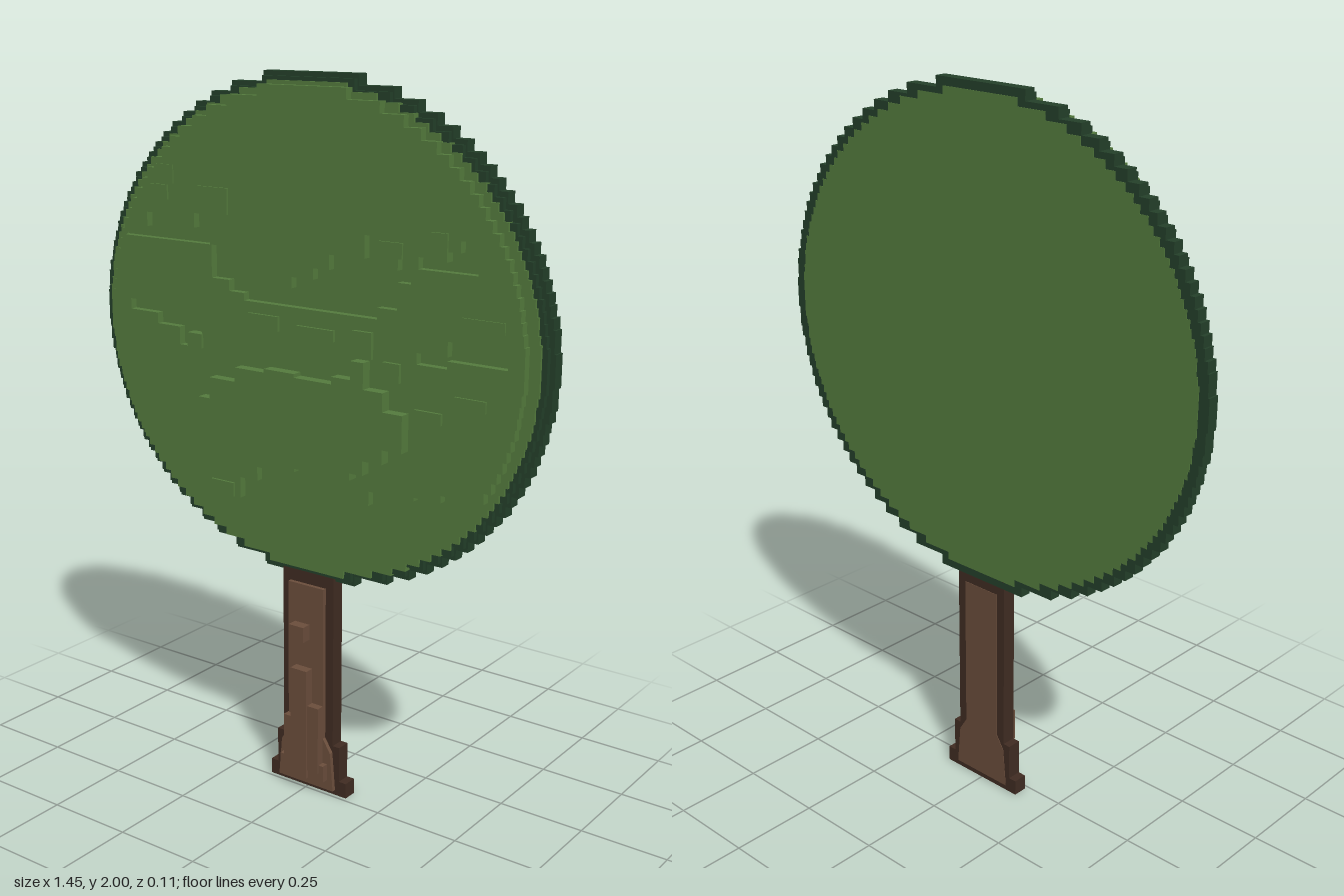
import * as THREE from 'three';

const mat = (name, color) => {
  const m = new THREE.MeshStandardMaterial({ color });
  m.name = name;
  return m;
};

export function createModel() {
  const leaf = mat('leaf green', 0x557c3e);
  const leafDark = mat('dark leaf edge', 0x24402a);
  const bark = mat('bark brown', 0x6b4e3c);
  const barkDark = mat('dark bark', 0x402c22);
  const tree = new THREE.Group();
  tree.name = 'tree';
  const CY = 1.3225;

  // Flat slab from an outline, between two depths
  const slab = (parent, name, pts, z0, z1, material, holes = []) => {
    const toV = (p) => p.map(([x, y]) => new THREE.Vector2(x, y));
    const shape = new THREE.Shape(toV(pts));
    holes.forEach((h) => shape.holes.push(new THREE.Path(toV(h))));
    const g = new THREE.ExtrudeGeometry(shape, { depth: z1 - z0, bevelEnabled: false });
    const mesh = new THREE.Mesh(g, material);
    mesh.name = name;
    mesh.position.z = z0;
    parent.add(mesh);
  };

  // Ellipse whose edge climbs in square steps, cut off below minY
  const steppedDisc = (rx, ry, rows, minY = -9) => {
    const right = [];
    const h = (2 * ry) / rows;
    for (let i = 0; i < rows; i++) {
      const y = CY - ry + i * h;
      if (y < minY) continue;
      const t = (y + h / 2 - CY) / ry;
      const w = Math.round(rx * Math.sqrt(1 - t * t) * 200) / 200;
      right.push([w, y], [w, y + h]);
    }
    return [...right, ...right.map(([x, y]) => [-x, y]).reverse()];
  };

  // Region between a flat or stepped floor and ceiling: [x, low, high] columns
  const columns = (list, endX) => {
    const low = [], high = [];
    list.forEach(([x, lo, hi], i) => {
      const x2 = i + 1 < list.length ? list[i + 1][0] : endX;
      low.push([x, lo], [x2, lo]);
      high.push([x, hi], [x2, hi]);
    });
    return [...low, ...high.reverse()];
  };

  // Crown: dark rim, leaf disc and raised foliage
  const crown = new THREE.Group();
  crown.name = 'crown';
  tree.add(crown);
  slab(crown, 'crownRim', steppedDisc(0.724, 0.6775, 47), -0.053, -0.02, leafDark);
  slab(crown, 'crownInnerRim', steppedDisc(0.71, 0.665, 46), -0.04, -0.007, leafDark);
  slab(crown, 'crownDisc', steppedDisc(0.695, 0.655, 60), -0.0545, 0, leaf);

  // Hollows left between the clumps
  const hollows = [
    columns([[-0.3, 1.45, 1.54], [-0.24, 1.42, 1.53], [-0.19, 1.4, 1.47], [-0.12, 1.4, 1.45],
      [-0.03, 1.4, 1.48], [0.04, 1.4, 1.51], [0.09, 1.4, 1.55], [0.2, 1.4, 1.61],
      [0.24, 1.43, 1.53], [0.3, 1.5, 1.56]], 0.34),
    columns([[-0.62, 1.54, 1.57], [-0.53, 1.54, 1.61], [-0.45, 1.54, 1.58], [-0.36, 1.54, 1.62]], -0.305),
    columns([[0.36, 1.54, 1.57], [0.42, 1.54, 1.59], [0.48, 1.54, 1.62]], 0.53),
    columns([[-0.6, 1.33, 1.36], [-0.5, 1.3, 1.34], [-0.42, 1.25, 1.34]], -0.34),
    columns([[0.36, 1.3, 1.33], [0.45, 1.32, 1.37], [0.55, 1.32, 1.36]], 0.62),
  ];
  const upper = steppedDisc(0.665, 0.645, 44, 0.97);
  slab(crown, 'raisedFoliage', upper, -0.005, 0.022, leaf, hollows);

  // Jagged lower fringe and the bulge in the middle
  slab(crown, 'foliageFringe', columns([[-0.5, 0.93, 1], [-0.42, 0.9, 1], [-0.32, 0.84, 1], [-0.21, 0.9, 1],
    [-0.15, 0.94, 1], [0, 0.92, 1], [0.12, 0.9, 1], [0.22, 0.94, 1], [0.36, 0.95, 1]], 0.44), -0.005, 0.0215, leaf);
  slab(crown, 'middleBulge', columns([[-0.33, 1.06, 1.12], [-0.29, 1.0, 1.18], [-0.2, 0.97, 1.22],
    [-0.1, 0.96, 1.23], [0, 0.97, 1.22], [0.12, 0.97, 1.24], [0.18, 0.99, 1.29],
    [0.22, 1.03, 1.22], [0.28, 1.07, 1.17]], 0.34), 0.015, 0.053, leaf);

  // Small loose leaf blocks: x, y, width, height, front depth
  [[-0.48, 1.67, 0.06, 0.04, 0.028], [-0.29, 1.66, 0.1, 0.07, 0.028], [-0.36, 1.27, 0.05, 0.04, 0.03],
    [-0.46, 1.72, 0.06, 0.05, 0.026], [0.28, 1.58, 0.07, 0.04, 0.028], [0.42, 1.6, 0.05, 0.07, 0.028],
    [0.2, 1.33, 0.06, 0.07, 0.032], [0.29, 1.27, 0.05, 0.05, 0.032], [-0.12, 1.35, 0.1, 0.04, 0.03],
    [0.05, 1.34, 0.12, 0.03, 0.03], [0.4, 1.17, 0.08, 0.03, 0.03], [-0.27, 0.86, 0.08, 0.04, 0.028],
    [0.55, 1.42, 0.12, 0.03, 0.026], [0.52, 1.22, 0.09, 0.03, 0.028]].forEach(([x, y, w, h, z]) => {
    const m = new THREE.Mesh(new THREE.BoxGeometry(w, h, z), leaf);
    m.name = 'leafBlock';
    m.position.set(x, y, z / 2);
    crown.add(m);
  });

  // Trunk: stepped foot, dark sides, lighter bark face and back
  const trunk = new THREE.Group();
  trunk.name = 'trunk';
  tree.add(trunk);
  const half = [[0.132, 0], [0.132, 0.045], [0.108, 0.045], [0.108, 0.15], [0.086, 0.15], [0.086, 0.68]];
  const outline = [...half, ...half.map(([x, y]) => [-x, y]).reverse()];
  slab(trunk, 'trunkCore', outline, -0.053, -0.012, barkDark);
  const faceHalf = [[0.095, 0.015], [0.085, 0.13], [0.06, 0.17], [0.06, 0.62]];
  const face = [...faceHalf, ...faceHalf.map(([x, y]) => [-x, y]).reverse()];
  slab(trunk, 'barkFront', face, -0.015, 0, bark);
  slab(trunk, 'barkBack', face, -0.0545, -0.05, bark);

  // Raised bark ridges and knot
  [[-0.005, 0.21, 0.055, 0.33, 0.028], [-0.045, 0.13, 0.035, 0.18, 0.02], [0.04, 0.17, 0.04, 0.2, 0.024],
    [0, 0.07, 0.15, 0.05, 0.02], [-0.012, 0.483, 0.05, 0.045, 0.03]].forEach(([x, y, w, h, z], i) => {
    const m = new THREE.Mesh(new THREE.BoxGeometry(w, h, z + 0.005), bark);
    m.name = i === 4 ? 'knot' : 'barkRidge';
    m.position.set(x, y, (z - 0.005) / 2);
    trunk.add(m);
  });

  return tree;
}
